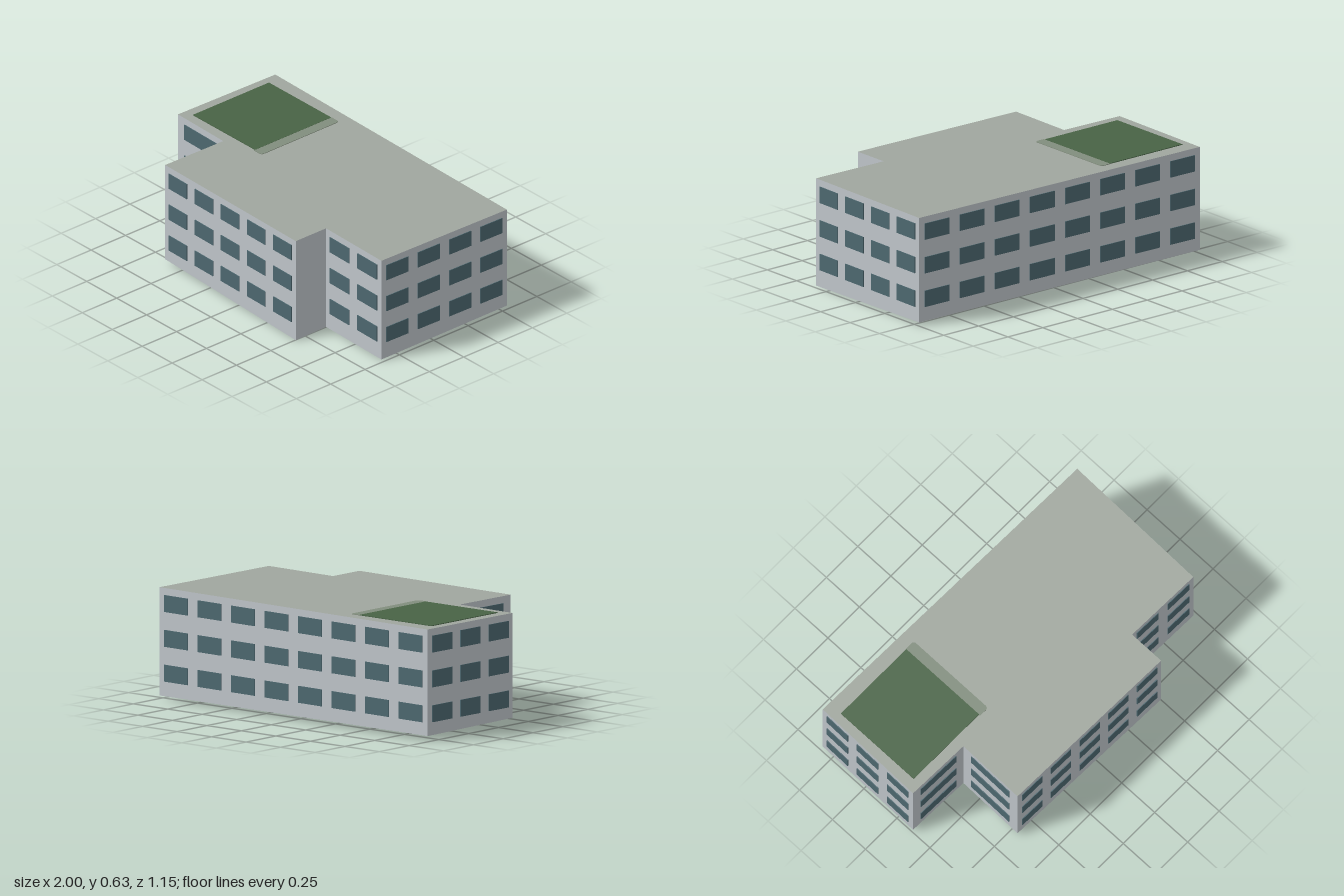
import * as THREE from 'three';

const TOP = 0.622;
// Footprint corners, counter-clockwise from above: x, z, ground height, windows on the wall to the next corner
const CORNERS = [
  [-0.985, -0.577, 0.028, 3],
  [-0.998, 0.12, 0.038, 1],
  [-0.608, 0.13, 0.032, 1],
  [-0.615, 0.547, 0.03, 5],
  [0.502, 0.57, 0.0, 0],
  [0.502, 0.35, 0.003, 2],
  [0.977, 0.361, 0.002, 4],
  [0.995, -0.536, 0.019, 8],
];
const ROWS = [0.148, 0.342, 0.536]; // window centre heights

export function createModel() {
  const group = new THREE.Group();
  const mat = (name, color) => Object.assign(new THREE.MeshStandardMaterial({ color }), { name });
  const wallMat = mat('pale grey wall', 0xbfc5ca);
  const roofMat = mat('grey green roof', 0xa0a69e);
  const glassMat = mat('blue grey glass', 0x4d6870);
  const lawnMat = mat('dark green planting', 0x486345);
  const edgeMat = mat('muted green border', 0x818d7d);
  const add = (name, geometry, material, parent = group) => {
    const mesh = new THREE.Mesh(geometry, material);
    mesh.name = name;
    parent.add(mesh);
    return mesh;
  };
  const surface = (points) => {
    const g = new THREE.BufferGeometry();
    g.setAttribute('position', new THREE.Float32BufferAttribute(points, 3));
    g.computeVertexNormals();
    return g;
  };

  // Walls with a sloping base line, plus the underside and roof
  const low = CORNERS.map(([x, z, y]) => [x, y, z]);
  const high = CORNERS.map(([x, z]) => [x, TOP, z]);
  const walls = [];
  CORNERS.forEach((_, i) => {
    const j = (i + 1) % CORNERS.length;
    walls.push(low[i], low[j], high[j], low[i], high[j], high[i]);
  });
  const tris = THREE.ShapeUtils.triangulateShape(CORNERS.map(([x, z]) => new THREE.Vector2(x, -z)), []);
  const floor = tris.flatMap(([a, b, c]) => [low[a], low[c], low[b]]);
  const roof = tris.flatMap(([a, b, c]) => [high[a], high[b], high[c]]);
  add('walls', surface(walls.flat()), wallMat);
  add('underside', surface(floor.flat()), wallMat);
  add('roof', surface(roof.flat()), roofMat);

  // Windows: evenly spaced along each wall, each filling 70% of its bay
  const windows = new THREE.Group();
  windows.name = 'windows';
  group.add(windows);
  CORNERS.forEach(([x, z, , count], i) => {
    const [x2, z2] = CORNERS[(i + 1) % CORNERS.length];
    const dx = x2 - x, dz = z2 - z;
    const pane = new THREE.BoxGeometry(0.7 * Math.hypot(dx, dz) / Math.max(count, 1), 0.094, 0.009);
    for (let k = 0; k < count; k++) {
      const t = (k + 0.5) / count;
      for (const y of ROWS) {
        const w = add('window', pane, glassMat, windows);
        w.position.set(x + dx * t, y, z + dz * t);
        w.rotation.y = Math.atan2(-dz, dx);
      }
    }
  });

  // Roof garden with a border strip rounded on its outer corners
  const lawn = add('roofGarden', new THREE.BoxGeometry(0.52, 0.004, 0.552), lawnMat);
  lawn.position.set(-0.675, TOP + 0.002, -0.211);
  const x0 = -0.416, x1 = -0.353, z0 = -0.49, z1 = 0.074, r = 0.02;
  const strip = new THREE.Shape();
  strip.moveTo(x0, -z1);
  strip.lineTo(x1 - r, -z1);
  strip.quadraticCurveTo(x1, -z1, x1, -z1 + r);
  strip.lineTo(x1, -z0 - r);
  strip.quadraticCurveTo(x1, -z0, x1 - r, -z0);
  strip.lineTo(x0, -z0);
  const border = add('gardenBorder', new THREE.ExtrudeGeometry(strip, { depth: 0.003, bevelEnabled: false }), edgeMat);
  border.rotation.x = -Math.PI / 2;
  border.position.y = TOP;

  return group;
}
